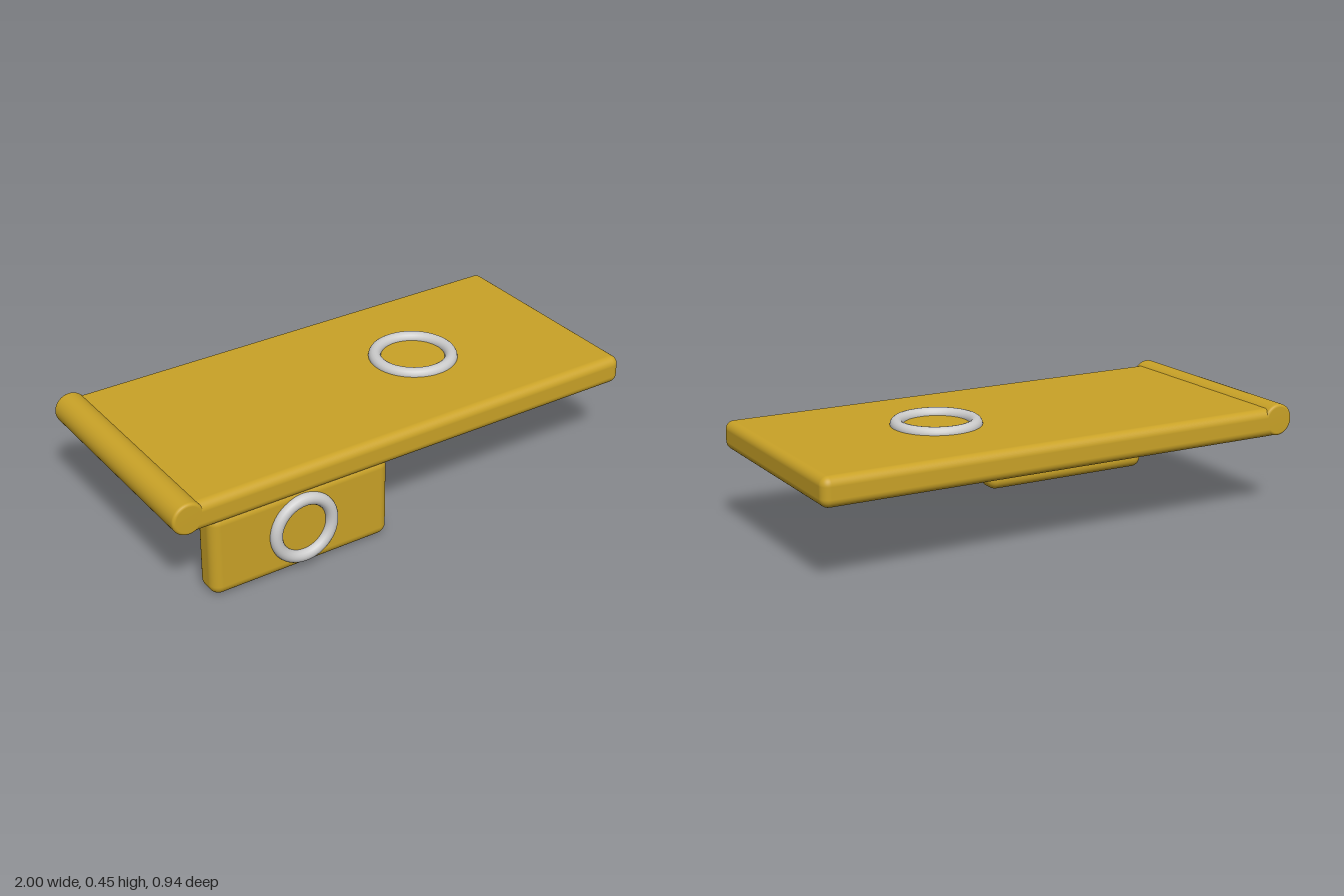
import * as THREE from 'three';
import { RoundedBoxGeometry } from 'three/addons/geometries/RoundedBoxGeometry.js';

const gold = new THREE.MeshStandardMaterial({ color: 0xc9a227 });
gold.name = 'gold';
const silver = new THREE.MeshStandardMaterial({ color: 0xcccccc });
silver.name = 'silver';

export function createModel() {
  const group = new THREE.Group();

  const add = (name, geometry, material, x, y, z) => {
    const mesh = new THREE.Mesh(geometry, material);
    mesh.name = name;
    mesh.position.set(x, y, z);
    group.add(mesh);
    return mesh;
  };

  // Rounded box given by its minimum and maximum corners
  const roundedBox = (name, min, max, radius) => {
    const size = max.map((v, i) => v - min[i]);
    const centre = max.map((v, i) => (v + min[i]) / 2);
    return add(name, new RoundedBoxGeometry(...size, 5, radius), gold, ...centre);
  };

  // Broad flat slab and the block hanging below its front edge
  roundedBox('slab', [-0.95, 0.308, -0.47], [0.997, 0.421, 0.45], 0.034);
  roundedBox('hangingBlock', [-0.85, 0, 0.328], [-0.1, 0.335, 0.443], 0.04);

  // Round bar along the slab's right end, with softened rims
  const r = 0.063, half = 0.46, bevel = 0.012;
  const profile = [new THREE.Vector2(0, -half)];
  for (const side of [-1, 1]) {
    for (let i = 0; i <= 4; i++) {
      const a = (side < 0 ? i - 4 : i) * Math.PI / 8;
      profile.push(new THREE.Vector2(
        r - bevel + bevel * Math.cos(a),
        side * (half - bevel) + bevel * Math.sin(a)));
    }
  }
  profile.push(new THREE.Vector2(0, half));
  const bar = add('endBar', new THREE.LatheGeometry(profile, 40), gold, -0.937, 0.375, -0.01);
  bar.rotation.x = Math.PI / 2;

  // Rings half sunk into the slab's top and the block's front
  const topRing = add('topRing', new THREE.TorusGeometry(0.15, 0.025, 16, 64), silver, 0.325, 0.423, -0.01);
  topRing.rotation.x = Math.PI / 2;
  add('frontRing', new THREE.TorusGeometry(0.118, 0.024, 16, 64), silver, -0.475, 0.17, 0.447);

  return group;
}
